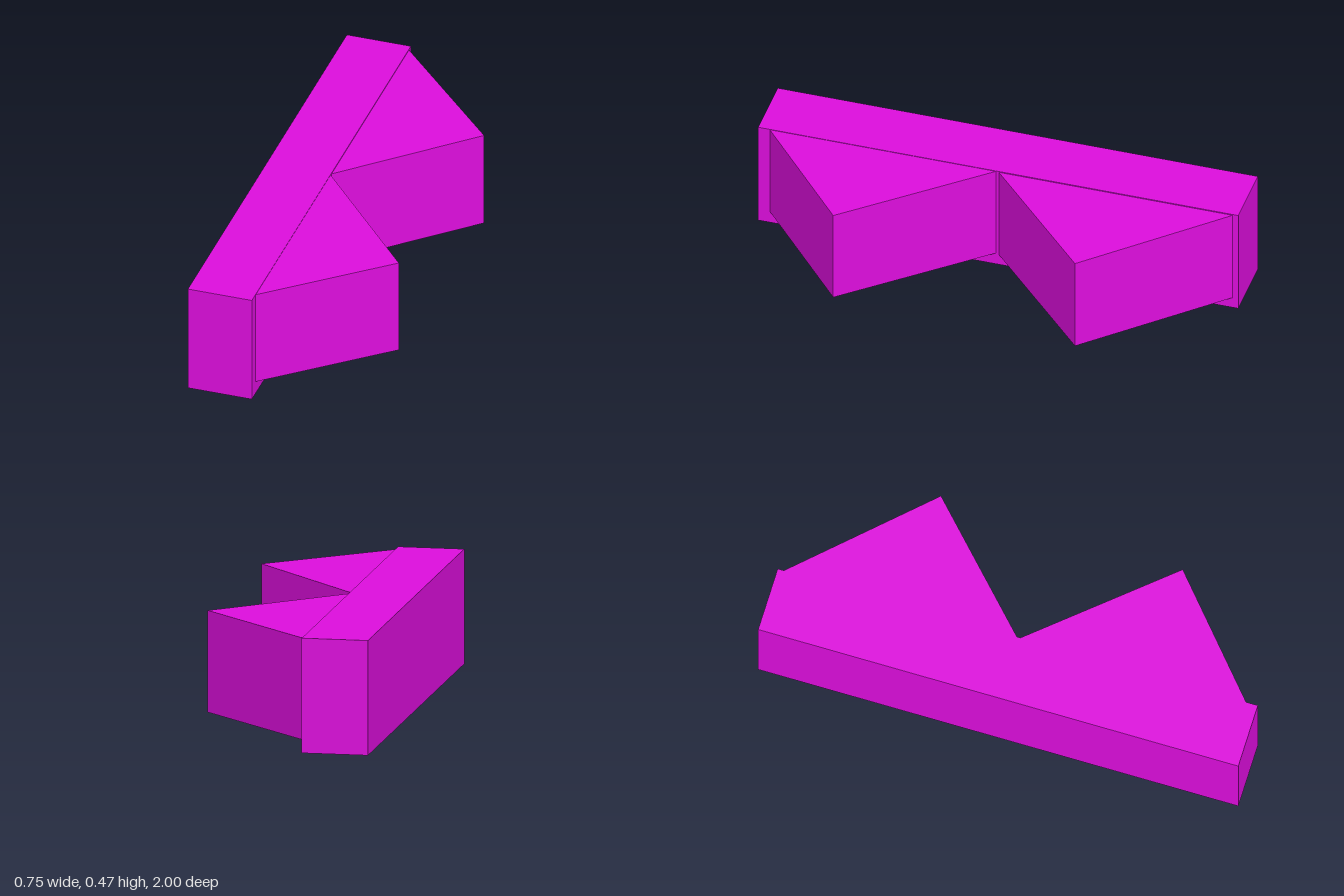
import * as THREE from 'three';

const material = new THREE.MeshStandardMaterial({ color: 0xdd0edd, flatShading: true });

// Upright triangular prism from [x, z] corners, between two heights
function prism(name, corners, bottom, top) {
  const shape = new THREE.Shape(corners.map(([x, z]) => new THREE.Vector2(x, -z)));
  const geometry = new THREE.ExtrudeGeometry(shape, { depth: top - bottom, bevelEnabled: false });
  geometry.rotateX(-Math.PI / 2);
  geometry.translate(0, bottom, 0);
  const mesh = new THREE.Mesh(geometry, material);
  mesh.name = name;
  return mesh;
}

export function createModel() {
  const group = new THREE.Group();
  group.name = 'zigzagBlock';

  // Long bar along the back of the teeth
  const left = -0.378, right = -0.109, height = 0.466;
  const bar = new THREE.Mesh(new THREE.BoxGeometry(right - left, height, 2), material);
  bar.name = 'bar';
  bar.position.set((left + right) / 2, height / 2, 0);
  group.add(bar);

  // Two pointed teeth set into the bar, slightly raised off the ground
  group.add(
    prism('frontTooth', [[-0.165, 1.0], [0.357, 0.546], [-0.165, -0.055]], 0.054, 0.464),
    prism('rearTooth', [[-0.12, 0.008], [0.377, -0.467], [-0.12, -0.988]], 0.049, 0.462)
  );
  return group;
}
